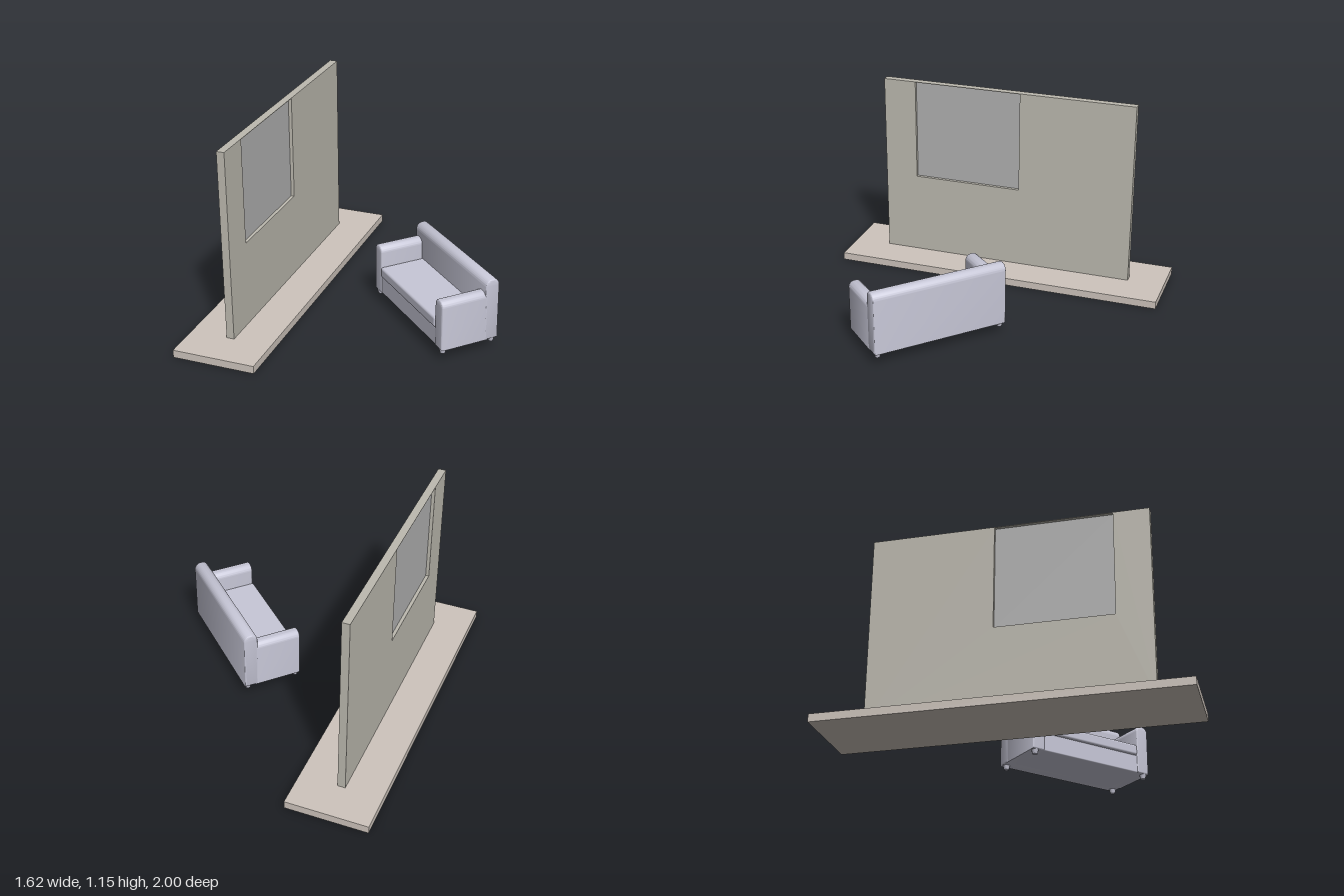
import * as THREE from 'three';
import { toCreasedNormals } from 'three/addons/utils/BufferGeometryUtils.js';
import { RoundedBoxGeometry } from 'three/addons/geometries/RoundedBoxGeometry.js';

const material = (color) => new THREE.MeshStandardMaterial({ color });

function addMesh(parent, name, geometry, mat, x = 0, y = 0, z = 0) {
  const mesh = new THREE.Mesh(geometry, mat);
  mesh.name = name;
  mesh.position.set(x, y, z);
  parent.add(mesh);
  return mesh;
}

// Upholstered bolster: flat sides, rounded top, softly bevelled ends, centred along z
function bolster(width, height, length, radius) {
  const bevel = 0.01;
  const w = width / 2 - bevel, h = height - bevel, r = radius - bevel;
  const shape = new THREE.Shape();
  shape.moveTo(-w, bevel);
  shape.lineTo(w, bevel);
  shape.lineTo(w, h - r);
  shape.absarc(w - r, h - r, r, 0, Math.PI / 2);
  shape.lineTo(-w + r, h);
  shape.absarc(-w + r, h - r, r, Math.PI / 2, Math.PI);
  shape.closePath();
  const geometry = new THREE.ExtrudeGeometry(shape, {
    depth: length - 2 * bevel, bevelThickness: bevel, bevelSize: bevel,
    bevelSegments: 4, curveSegments: 10,
  });
  geometry.translate(0, 0, -length / 2 + bevel);
  return toCreasedNormals(geometry, 0.6);
}

function createSofa() {
  const sofa = new THREE.Group();
  sofa.name = 'sofa';
  const fabric = material(0xc8c8d8);
  const bottom = 0.07;

  // Backrest across the full length
  const back = addMesh(sofa, 'backrest', bolster(0.085, 0.367, 0.806, 0.04), fabric, 0, bottom, -0.1325);
  back.rotation.y = Math.PI / 2;

  // Seat base and cushion
  addMesh(sofa, 'seatBase', new RoundedBoxGeometry(0.68, 0.108, 0.3, 3, 0.008), fabric, 0, bottom + 0.054, 0.02);
  addMesh(sofa, 'seatCushion', new RoundedBoxGeometry(0.648, 0.064, 0.285, 4, 0.014), fabric, 0, 0.209, 0.036);

  // Arms and tapered feet
  const armGeometry = bolster(0.08, 0.295, 0.29, 0.036);
  const footGeometry = new THREE.CylinderGeometry(0.021, 0.014, 0.03, 20);
  for (const side of [-1, 1]) {
    addMesh(sofa, side > 0 ? 'leftArm' : 'rightArm', armGeometry, fabric, side * 0.362, bottom, 0.03);
    for (const z of [-0.148, 0.152]) {
      addMesh(sofa, 'foot', footGeometry, fabric, side * 0.375, 0.06, z);
    }
  }
  return sofa;
}

export function createModel() {
  const model = new THREE.Group();
  model.name = 'roomCorner';

  // Floor slab
  addMesh(model, 'floorSlab', new THREE.BoxGeometry(0.48, 0.045, 2), material(0xcec5bd), -0.57, 0.0225, 0);

  // Wall with a window opening reaching almost to its top edge
  const wallShape = new THREE.Shape();
  wallShape.moveTo(-0.78, 0.045);
  wallShape.lineTo(0.78, 0.045);
  wallShape.lineTo(0.78, 1.155);
  wallShape.lineTo(-0.78, 1.155);
  wallShape.closePath();
  const opening = new THREE.Path();
  opening.moveTo(-0.08, 0.54);
  opening.lineTo(-0.08, 1.152);
  opening.lineTo(0.58, 1.152);
  opening.lineTo(0.58, 0.54);
  opening.closePath();
  wallShape.holes.push(opening);
  const wallGeometry = new THREE.ExtrudeGeometry(wallShape, { depth: 0.045, bevelEnabled: false });
  wallGeometry.rotateY(-Math.PI / 2);
  addMesh(model, 'wall', wallGeometry, material(0xbdbab0), -0.55, 0, 0);

  // Window pane in the middle of the wall thickness
  addMesh(model, 'windowPane', new THREE.BoxGeometry(0.006, 0.612, 0.66), material(0xb2b2b2), -0.5725, 0.846, 0.25);

  // Sofa turned toward the wall
  const sofa = createSofa();
  sofa.position.set(0.4, 0, 0.147);
  sofa.rotation.y = THREE.MathUtils.degToRad(-43.5);
  model.add(sofa);

  return model;
}
